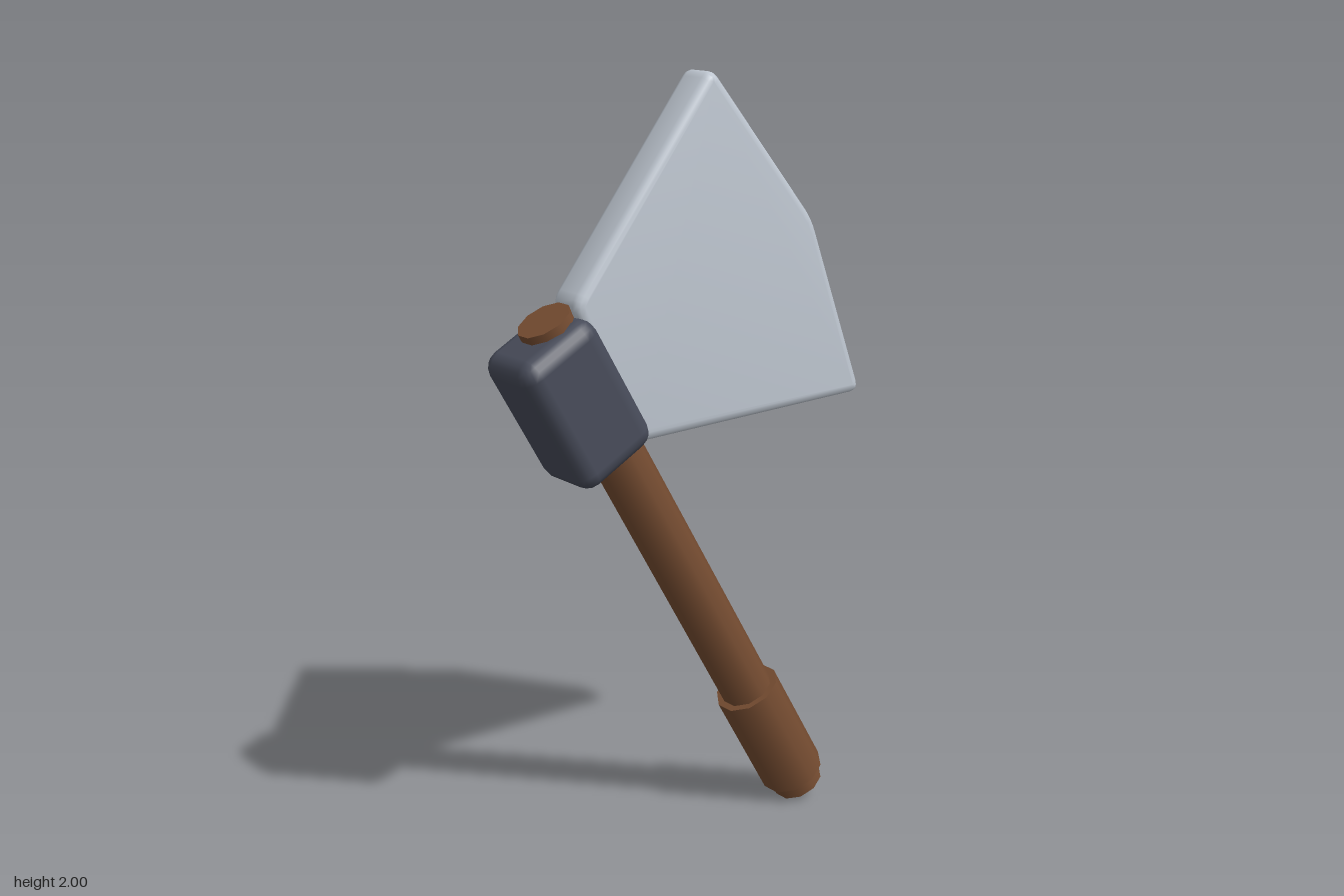
import * as THREE from 'three';
import { toCreasedNormals } from 'three/addons/utils/BufferGeometryUtils.js';
import { RoundedBoxGeometry } from 'three/addons/geometries/RoundedBoxGeometry.js';

const material = (name, color) => {
  const m = new THREE.MeshStandardMaterial({ color });
  m.name = name;
  return m;
};

// Closed outline with softened corners
function roundedPolygon(points, radius) {
  const shape = new THREE.Shape();
  const pts = points.map(([x, y]) => new THREE.Vector2(x, y));
  pts.forEach((p, i) => {
    const prev = pts[(i + pts.length - 1) % pts.length];
    const next = pts[(i + 1) % pts.length];
    const a = p.clone().add(prev.clone().sub(p).setLength(radius));
    const b = p.clone().add(next.clone().sub(p).setLength(radius));
    if (i === 0) shape.moveTo(a.x, a.y);
    else shape.lineTo(a.x, a.y);
    shape.quadraticCurveTo(p.x, p.y, b.x, b.y);
  });
  shape.closePath();
  return shape;
}

export function createModel() {
  const wood = material('wood', 0x754c31);
  const iron = material('dark iron', 0x474b59);
  const steel = material('steel', 0xbfc7d1);
  const axe = new THREE.Group();
  axe.name = 'axe';

  const add = (parent, name, geometry, mat, x = 0, y = 0) => {
    const mesh = new THREE.Mesh(geometry, mat);
    mesh.name = name;
    mesh.position.set(x, y, 0);
    parent.add(mesh);
  };

  // Tilted shaft, origin at the centre of its lower end
  const shaft = new THREE.Group();
  shaft.name = 'shaft';
  shaft.position.set(0.387, 0.042, 0);
  shaft.rotation.z = Math.PI / 6;
  axe.add(shaft);

  const rod = (name, radius, bottom, top) =>
    add(shaft, name, new THREE.CylinderGeometry(radius, radius, top - bottom, 10), wood, 0, (bottom + top) / 2);
  rod('handle', 0.07, 0, 1.617);
  rod('grip', 0.088, 0.045, 0.37);

  // Block that holds the blade on the shaft
  add(shaft, 'socket', new RoundedBoxGeometry(0.238, 0.382, 0.21, 2, 0.045), iron, -0.042, 1.405);

  // Thick blade with rounded edges; the bevel grows the inset outline back out
  const bevel = 0.022;
  const outline = roundedPolygon(
    [[-0.37, 1.475], [-0.19, 1.113], [0.542, 1.145], [0.367, 1.622], [0.041, 2.018]], 0.035);
  const blade = new THREE.ExtrudeGeometry(outline, {
    depth: 0.112 - 2 * bevel, curveSegments: 4,
    bevelEnabled: true, bevelThickness: bevel, bevelSize: bevel, bevelOffset: -bevel, bevelSegments: 3,
  });
  blade.translate(0, 0, bevel - 0.056);
  add(axe, 'blade', toCreasedNormals(blade, 0.8), steel);

  return axe;
}
